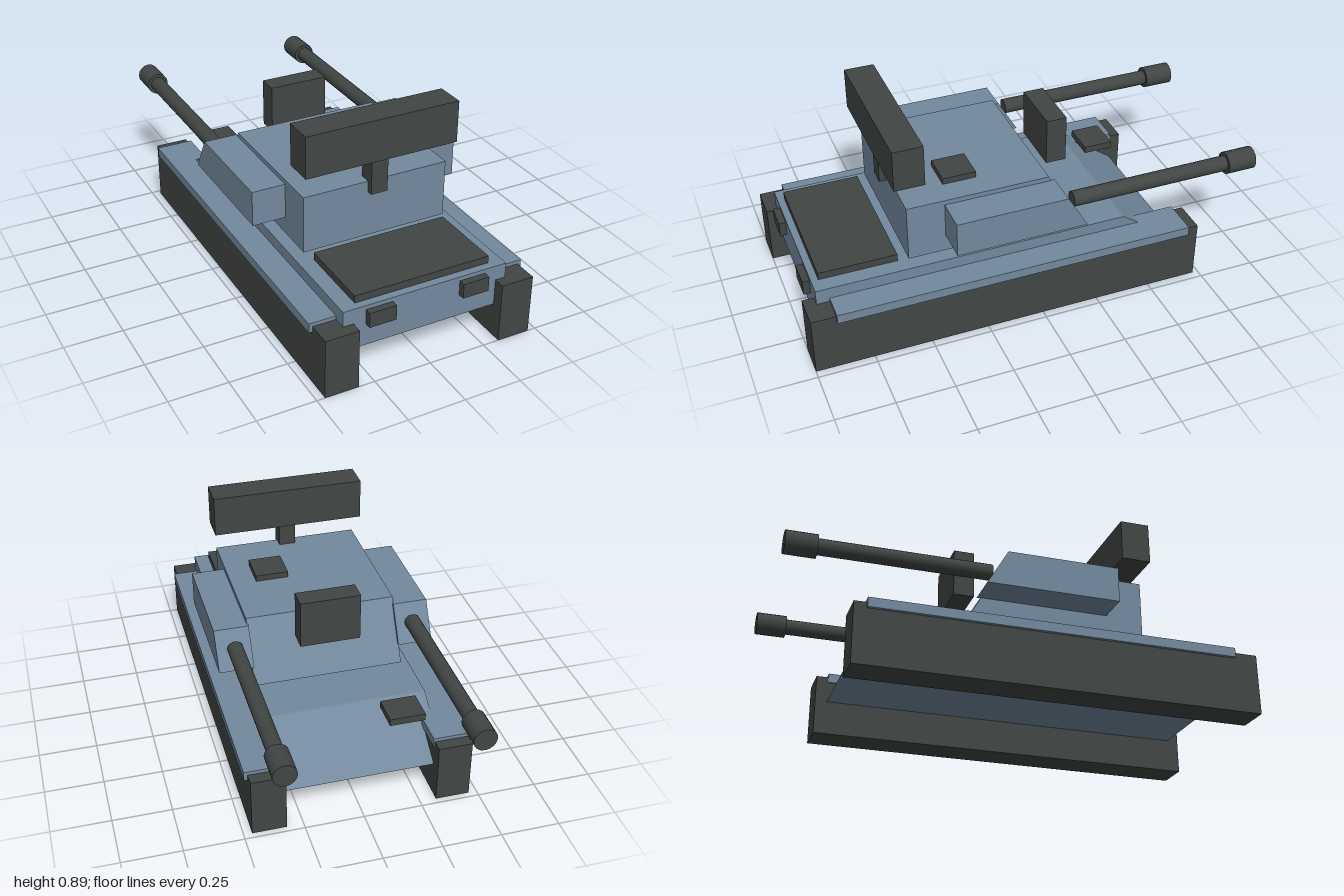
import * as THREE from 'three';

const armour = new THREE.MeshStandardMaterial({ color: 0x73899d });
armour.name = 'blue grey armour';
const dark = new THREE.MeshStandardMaterial({ color: 0x414645 });
dark.name = 'dark metal';

export function createModel() {
  const model = new THREE.Group();
  model.name = 'twinGunTank';

  function add(name, geometry, material) {
    const mesh = new THREE.Mesh(geometry, material);
    mesh.name = name;
    model.add(mesh);
    return mesh;
  }

  // Box given by its limits on each axis
  function box(name, material, [x0, x1], [y0, y1], [z0, z1]) {
    const mesh = add(name, new THREE.BoxGeometry(x1 - x0, y1 - y0, z1 - z0), material);
    mesh.position.set((x0 + x1) / 2, (y0 + y1) / 2, (z0 + z1) / 2);
  }

  // Side profile of [z, y] points, extruded across from x0 to x1
  function prism(name, material, points, x0, x1) {
    const shape = new THREE.Shape(points.map(([z, y]) => new THREE.Vector2(-z, y)));
    const geometry = new THREE.ExtrudeGeometry(shape, { depth: x1 - x0, bevelEnabled: false });
    geometry.rotateY(Math.PI / 2).translate(x0, 0, 0);
    add(name, geometry, material);
  }

  // Cylinder lying along z
  function rod(name, radius, x, y, z0, z1) {
    const geometry = new THREE.CylinderGeometry(radius, radius, z1 - z0, 16).rotateX(Math.PI / 2);
    add(name, geometry, dark).position.set(x, y, (z0 + z1) / 2);
  }

  // Hull with sloped nose, and turret with sloped face
  prism('hull', armour, [[0.95, 0.147], [-0.675, 0.147], [-0.412, 0.328], [0.95, 0.328]], -0.365, 0.365);
  prism('turret', armour, [[0.545, 0.348], [-0.215, 0.348], [-0.073, 0.598], [0.545, 0.598]], -0.325, 0.325);

  // Paired parts
  for (const [side, s] of [['left', 1], ['right', -1]]) {
    const span = (a, b) => (s > 0 ? [a, b] : [-b, -a]);
    box(side + 'Track', dark, span(0.32, 0.465), [0, 0.262], [-0.725, 1]);
    box(side + 'Fender', armour, span(0.315, 0.48), [0.237, 0.278], [-0.673, 0.895]);
    prism(side + 'GunPod', armour,
      [[0.383, 0.423], [-0.19, 0.423], [-0.1, 0.577], [0.383, 0.577]], ...span(0.32, 0.47));
    rod(side + 'Barrel', 0.034, s * 0.391, 0.51, -0.99, -0.15);
    rod(side + 'Muzzle', 0.049, s * 0.391, 0.51, -1, -0.87);
    box(side + 'RearLamp', dark, span(0.15, 0.267), [0.245, 0.31], [0.94, 0.98]);
  }

  // Deck and hatches
  box('engineDeck', dark, [-0.3, 0.3], [0.331, 0.363], [0.585, 0.92]);
  box('driverHatch', dark, [-0.303, -0.15], [0.322, 0.353], [-0.597, -0.465]);
  box('roofHatch', dark, [0.07, 0.215], [0.59, 0.625], [0.207, 0.353]);

  // Radars
  box('searchRadarPost', dark, [-0.037, 0.037], [0.55, 0.715], [0.495, 0.572]);
  box('searchRadar', dark, [-0.34, 0.34], [0.708, 0.89], [0.465, 0.595]);
  box('trackingRadar', dark, [-0.13, 0.13], [0.525, 0.735], [-0.235, -0.145]);

  return model;
}
